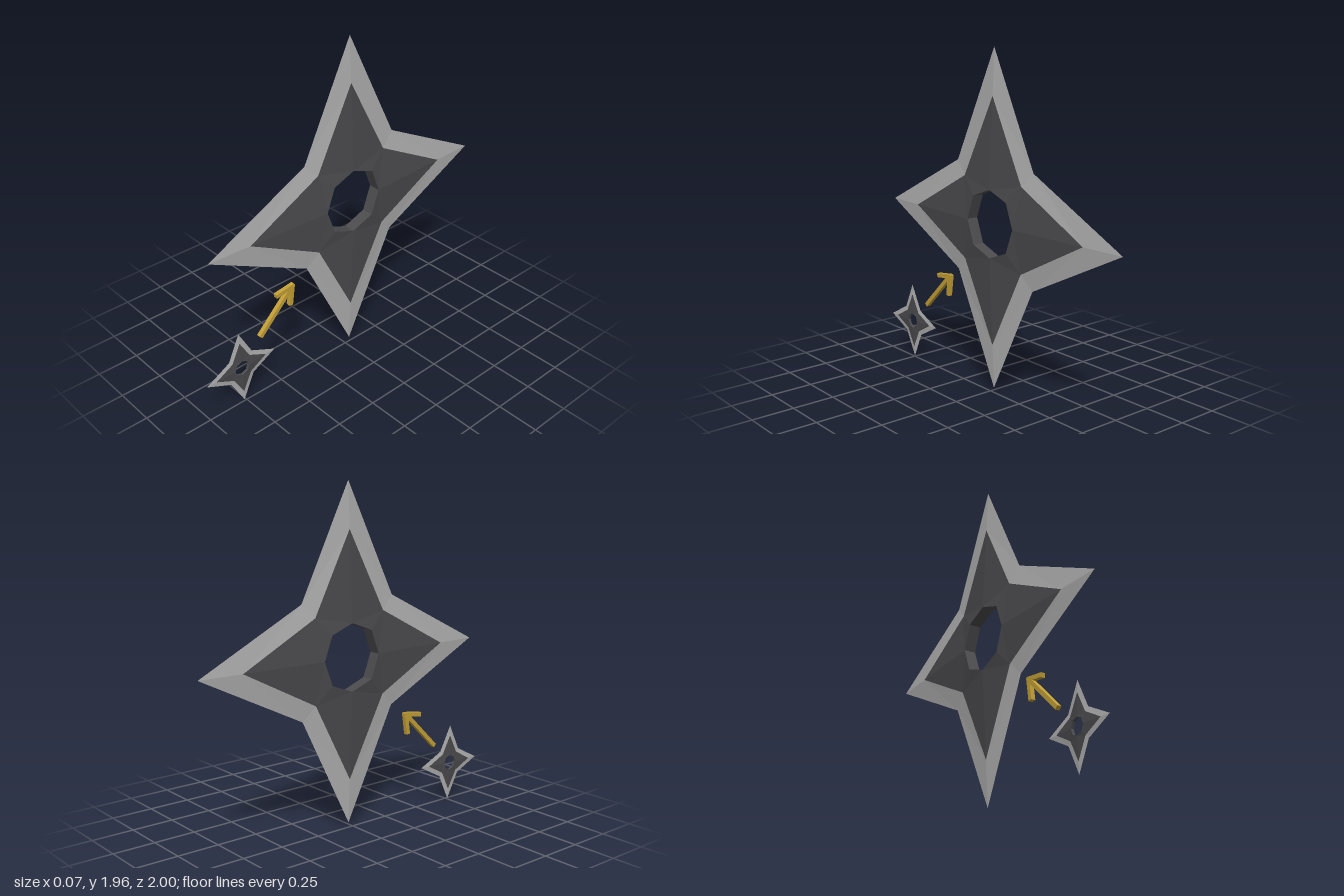
import * as THREE from 'three';

const steel = new THREE.MeshStandardMaterial({ color: 0xb0b0b0, flatShading: true });
steel.name = 'bright steel';
const dark = new THREE.MeshStandardMaterial({ color: 0x4b4b4e, flatShading: true });
dark.name = 'dark steel';
const gold = new THREE.MeshStandardMaterial({ color: 0xc4a035, flatShading: true });
gold.name = 'gold';

const HALF = 0.035; // half thickness at the hole

// Eight points alternating between the arm axes and the diagonals
function ring(axisRadius, diagonalRadius, z) {
  return Array.from({ length: 8 }, (_, i) => {
    const r = i % 2 ? diagonalRadius : axisRadius;
    const a = (i * Math.PI) / 4;
    return [r * Math.cos(a), r * Math.sin(a), z];
  });
}

const flip = (points) => points.map(([x, y, z]) => [x, y, -z]);

// Joins two rings; the diagonal of each panel is mirrored on alternate sides
function band(inner, outer, reverse) {
  const out = [];
  const add = (a, b, c) => out.push(...a, ...(reverse ? c : b), ...(reverse ? b : c));
  for (let i = 0; i < 8; i++) {
    const j = (i + 1) % 8;
    if (i % 2) {
      add(inner[i], outer[i], inner[j]);
      add(inner[j], outer[i], outer[j]);
    } else {
      add(inner[i], outer[i], outer[j]);
      add(inner[i], outer[j], inner[j]);
    }
  }
  return out;
}

function mesh(name, positions, material) {
  const geometry = new THREE.BufferGeometry();
  geometry.setAttribute('position', new THREE.Float32BufferAttribute(positions, 3));
  geometry.computeVertexNormals();
  const m = new THREE.Mesh(geometry, material);
  m.name = name;
  return m;
}

// Four-armed throwing star: thick at the hole, sharp along the outline
function star(name) {
  const hole = ring(0.193, 0.198, HALF);
  const paint = ring(0.705, 0.341, HALF * 0.34);
  for (let i = 1; i < 8; i += 2) paint[i][2] = HALF * 0.44;
  const outline = ring(0.966, 0.454, 0);
  const group = new THREE.Group();
  group.name = name;
  group.add(
    mesh('darkFaces', [...band(hole, paint, false), ...band(flip(hole), flip(paint), true)], dark),
    mesh('sharpEdges', [...band(paint, outline, false), ...band(flip(paint), outline, true)], steel),
    mesh('holeWall', band(flip(hole), hole, false), dark)
  );
  return group;
}

// Square bar between two points in the plane of the star
function bar(name, [x1, y1], [x2, y2]) {
  const length = Math.hypot(x2 - x1, y2 - y1);
  const m = new THREE.Mesh(new THREE.BoxGeometry(length, 0.025, 0.025), gold);
  m.position.set((x1 + x2) / 2, (y1 + y2) / 2, -0.015);
  m.rotation.z = Math.atan2(y2 - y1, x2 - x1);
  m.name = name;
  return m;
}

export function createModel() {
  const model = new THREE.Group();
  model.name = 'throwingStars';

  // Everything is laid out in a plane, then turned to face sideways
  const layout = new THREE.Group();
  layout.name = 'layout';
  layout.rotation.y = Math.PI / 2;
  model.add(layout);

  const large = star('largeStar');
  large.position.set(0.031, 0.998, 0);

  const small = star('smallStar');
  small.position.set(-0.767, 0.236, -0.008);
  small.rotation.z = 0.03;
  small.scale.setScalar(0.241);

  const arrow = new THREE.Group();
  arrow.name = 'arrow';
  const tip = [-0.389, 0.605];
  arrow.add(
    bar('shaft', [-0.626, 0.372], tip),
    bar('upperBarb', [-0.506, 0.587], [-0.379, 0.605]),
    bar('lowerBarb', [-0.406, 0.483], [-0.388, 0.612])
  );

  layout.add(large, small, arrow);
  return model;
}
